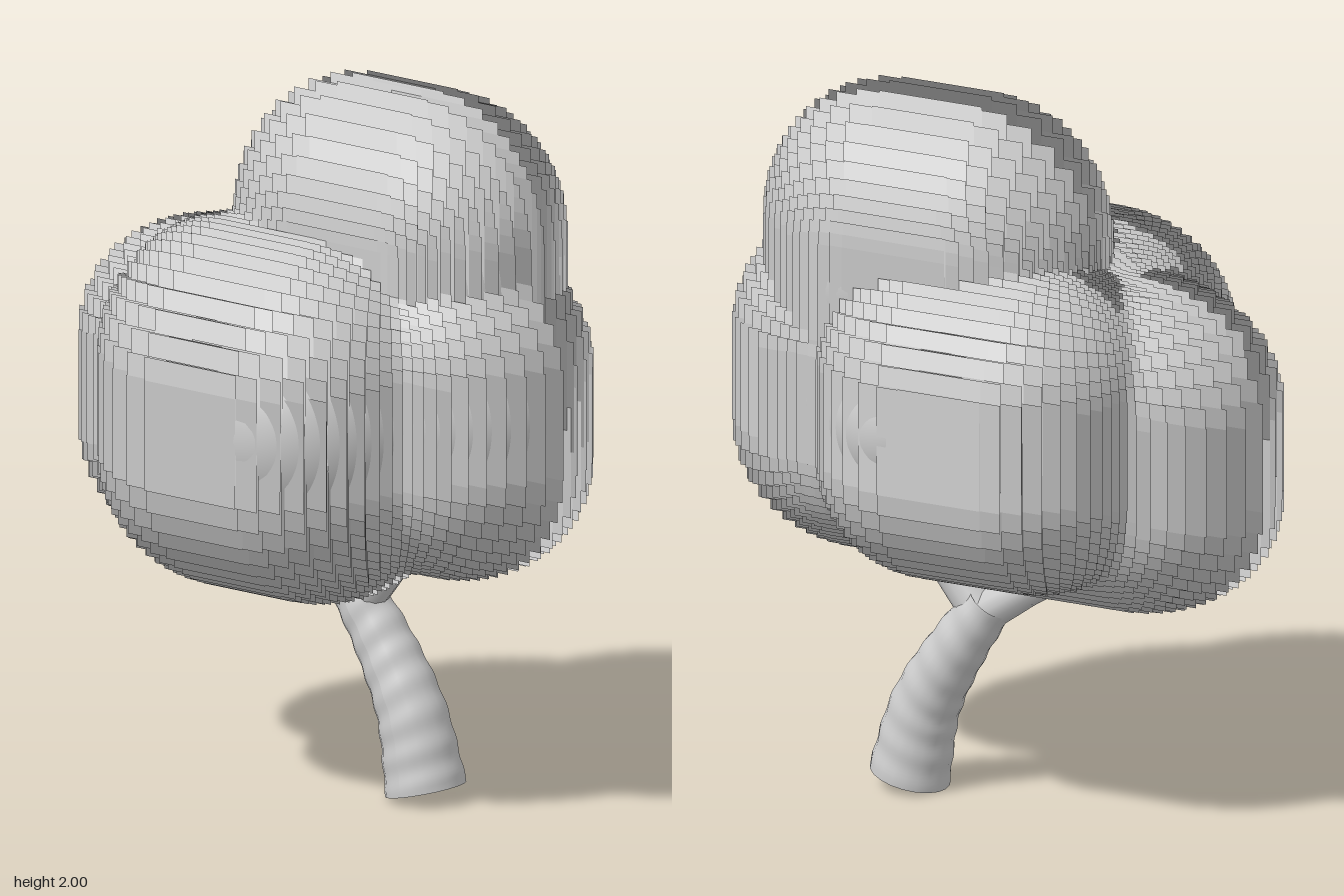
import * as THREE from 'three';
import { mergeGeometries } from 'three/addons/utils/BufferGeometryUtils.js';

const material = new THREE.MeshStandardMaterial({ color: 0xcccccc, side: THREE.DoubleSide });

// Crown lobes: centres and radii of ellipsoids that all contain the crown centre
const crownCentre = new THREE.Vector3(0.15, 1.2, 0);
const lobes = [
  [[0.325, 1.48, -0.035], [0.315, 0.36, 0.305]],
  [[0.13, 1.125, 0.22], [0.335, 0.35, 0.39]],
  [[0.11, 1.155, -0.18], [0.3, 0.3, 0.36]],
  [[0.4, 1.155, 0], [0.34, 0.315, 0.33]],
  [[-0.07, 1.08, 0.025], [0.37, 0.31, 0.31]],
].map(([centre, radii]) => {
  const size = new THREE.Vector3(...radii);
  return { size, offset: new THREE.Vector3(...centre).sub(crownCentre).divide(size) };
});

// Point of the blended lobes seen from the crown centre along a direction
function crownPoint(dir) {
  const blend = 0.013;
  const exits = lobes.map(({ offset, size }) => {
    const d = dir.clone().divide(size);
    const a = d.lengthSq();
    const b = d.dot(offset);
    return (b + Math.sqrt(b * b - a * (offset.lengthSq() - 1))) / a;
  });
  const far = Math.max(...exits);
  const sum = exits.reduce((s, e) => s + Math.exp((e - far) / blend), 0);
  return dir.clone().multiplyScalar(far + blend * Math.log(sum)).add(crownCentre);
}

// Push every vertex of a closed geometry out onto the crown
function crownSurface(geometry) {
  const pos = geometry.attributes.position;
  const v = new THREE.Vector3();
  for (let i = 0; i < pos.count; i++) {
    const p = crownPoint(v.fromBufferAttribute(pos, i).normalize());
    pos.setXYZ(i, p.x, p.y, p.z);
  }
  geometry.computeVertexNormals();
  return geometry;
}

// Upright square leaf cards spread over the crown and shaded like it
function leafCards(divisions) {
  const { position, normal } = crownSurface(
    new THREE.BoxGeometry(2, 2, 2, divisions, divisions, divisions)).attributes;
  const cards = [];
  for (let i = 0; i < position.count; i++) {
    const card = new THREE.PlaneGeometry(0.31, 0.31);
    if (normal.getZ(i) < 0) card.rotateY(Math.PI);
    card.translate(position.getX(i) * 1.09 - 0.165, position.getY(i) * 1.03 - 0.05, position.getZ(i));
    for (let k = 0; k < 4; k++) {
      card.attributes.normal.setXYZ(k, normal.getX(i), normal.getY(i), normal.getZ(i));
    }
    cards.push(card);
  }
  return mergeGeometries(cards);
}

// Open tapered tube with optional bark rings
function limb(name, points, r0, r1, steps, sides, ridge = 0, count = 1) {
  const curve = new THREE.CatmullRomCurve3(points.map((p) => new THREE.Vector3(...p)));
  const geometry = new THREE.TubeGeometry(curve, steps, 1, sides);
  const pos = geometry.attributes.position;
  const v = new THREE.Vector3();
  for (let i = 0; i < pos.count; i++) {
    const t = Math.floor(i / (sides + 1)) / steps;
    const angle = ((i % (sides + 1)) / sides) * Math.PI * 2;
    const wave = Math.sin(t * count * Math.PI * 2 + 1.5 * Math.sin(angle));
    const radius = THREE.MathUtils.lerp(r0, r1, t) + ridge * wave;
    const c = curve.getPointAt(t);
    v.fromBufferAttribute(pos, i).sub(c).multiplyScalar(radius).add(c);
    pos.setXYZ(i, v.x, v.y, v.z);
  }
  geometry.computeVertexNormals();
  const mesh = new THREE.Mesh(geometry, material);
  mesh.name = name;
  return mesh;
}

export function createModel() {
  const tree = new THREE.Group();
  tree.name = 'tree';

  // Leaning trunk and the branches that hold the crown
  tree.add(
    limb('trunk', [[0.277, 0.028, -0.035], [0.225, 0.24, -0.035], [0.125, 0.42, -0.04], [0.03, 0.56, -0.035]],
      0.112, 0.068, 56, 20, 0.002, 7),
    limb('leftBranch', [[0.06, 0.52, -0.035], [-0.06, 0.6, -0.03], [-0.17, 0.68, -0.01], [-0.22, 0.9, 0.02]],
      0.058, 0.035, 20, 12),
    limb('rightBranch', [[0.06, 0.53, -0.035], [0.14, 0.62, -0.03], [0.24, 0.75, -0.035], [0.38, 0.95, -0.04]],
      0.06, 0.032, 20, 12),
    limb('frontBranch', [[0.14, 0.64, -0.03], [0.15, 0.7, 0.05], [0.14, 0.79, 0.21], [0.13, 0.9, 0.35]],
      0.04, 0.028, 20, 12),
    limb('backBranch', [[0.14, 0.65, -0.035], [0.15, 0.73, -0.1], [0.14, 0.85, -0.22], [0.13, 0.95, -0.3]],
      0.04, 0.028, 20, 12),
  );

  // Smooth crown and its leaf cards
  const crown = new THREE.Mesh(crownSurface(new THREE.SphereGeometry(1, 128, 96)), material);
  crown.name = 'crown';
  const leaves = new THREE.Mesh(leafCards(19), material);
  leaves.name = 'leafCards';
  tree.add(crown, leaves);
  return tree;
}
